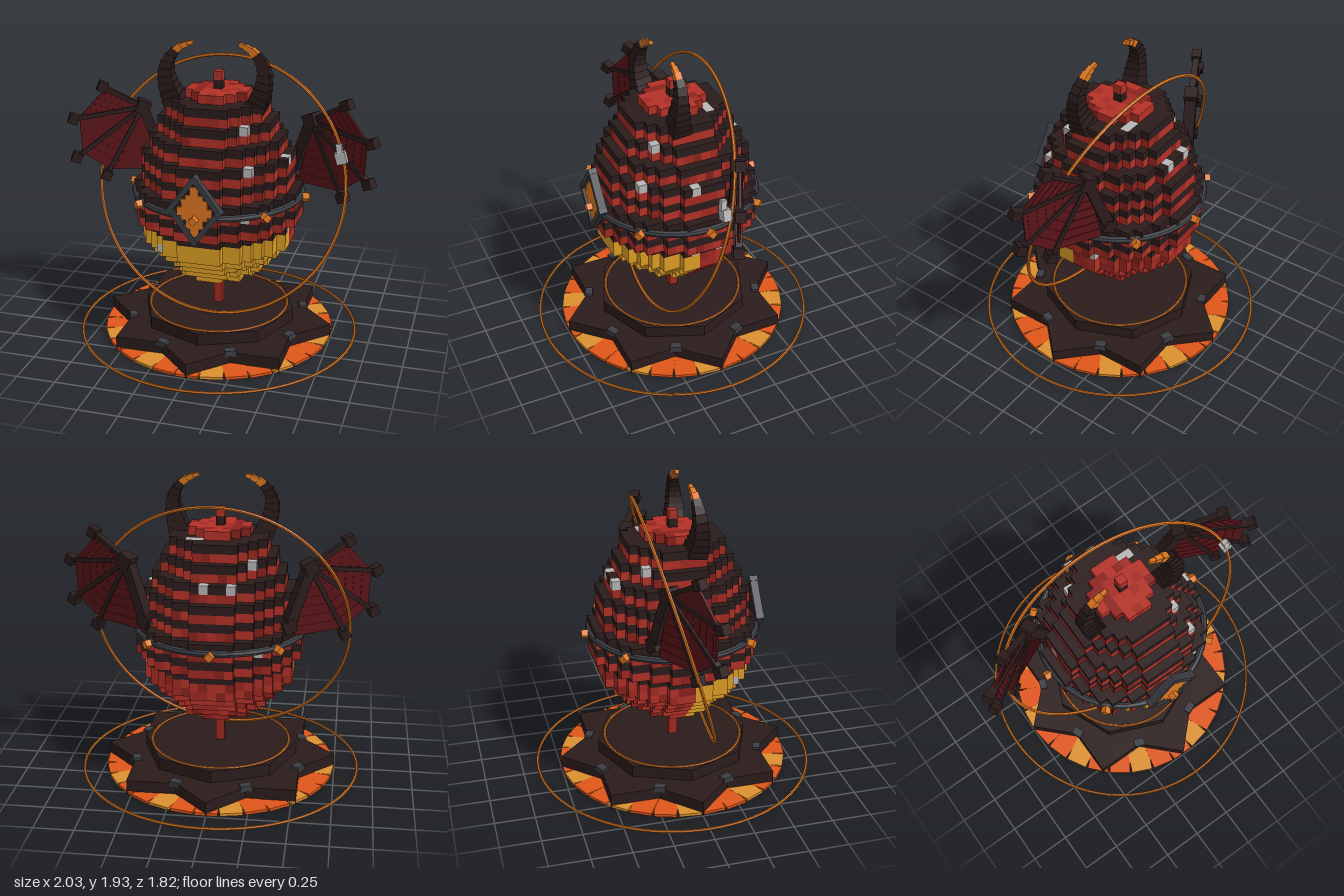
import * as THREE from 'three';
import { mergeGeometries } from 'three/addons/utils/BufferGeometryUtils.js';

const COLORS = {
  dark: 0x2c1c1c, red: 0xb43228, redMid: 0xa42a22, redDeep: 0x8c221e, yellow: 0xdf9f26,
  grey: 0xb8b8b8, iron: 0x3c3e44, orange: 0xe07820, flame: 0xe0561a, amber: 0xdd9030, membrane: 0x5a1418,
};
const mats = {};
for (const k in COLORS) {
  mats[k] = new THREE.MeshStandardMaterial({ color: COLORS[k], flatShading: true });
}
const V = (x, y, z) => new THREE.Vector3(x, y, z);

function add(parent, name, geo, color, x = 0, y = 0, z = 0) {
  const m = new THREE.Mesh(geo, mats[color]);
  m.name = name;
  m.position.set(x, y, z);
  parent.add(m);
  return m;
}

// Box running from a to b; w across, d along the facing normal
function bar(parent, name, a, b, w, d, color, normal = V(0, 0, 1)) {
  const dir = b.clone().sub(a);
  const m = add(parent, name, new THREE.BoxGeometry(w, dir.length(), d), color);
  m.position.copy(a).add(b).multiplyScalar(0.5);
  const yAxis = dir.normalize();
  const xAxis = yAxis.clone().cross(normal).normalize();
  const zAxis = xAxis.clone().cross(yAxis);
  m.quaternion.setFromRotationMatrix(new THREE.Matrix4().makeBasis(xAxis, yAxis, zAxis));
  return m;
}

// Base: sunburst tiles, eight-pointed star, octagonal step and rings
function buildBase() {
  const g = new THREE.Group();
  g.name = 'base';
  add(g, 'groundRing', new THREE.TorusGeometry(0.9, 0.009, 6, 96), 'orange', 0, 0.01, 0).rotation.x = Math.PI / 2;
  for (let k = 0; k < 30; k++) {
    const a = k * Math.PI / 15;
    const tile = add(g, 'sunTile', new THREE.BoxGeometry(0.142, 0.018, 0.35),
      k % 3 === 1 ? 'amber' : 'flame', Math.sin(a) * 0.57, 0.016 + (k % 3) * 0.001, Math.cos(a) * 0.57);
    tile.rotation.y = a;
  }
  for (const a of [0, Math.PI / 4]) {
    add(g, 'starPlate', new THREE.BoxGeometry(1.06, 0.096, 1.06), 'dark', 0, 0.052, 0).rotation.y = a;
  }
  add(g, 'upperStep', new THREE.CylinderGeometry(0.5, 0.5, 0.08, 8), 'dark', 0, 0.138, 0);
  add(g, 'stepRing', new THREE.TorusGeometry(0.45, 0.008, 6, 64), 'orange', 0, 0.18, 0).rotation.x = Math.PI / 2;
  for (let k = 0; k < 8; k++) {
    const a = (k + 0.5) * Math.PI / 4;
    add(g, 'starClamp', new THREE.BoxGeometry(0.07, 0.04, 0.05), 'iron',
      Math.sin(a) * 0.565, 0.096, Math.cos(a) * 0.565).rotation.y = a;
  }
  return g;
}

// Egg: striped voxel shell, one radius (in cells) per layer
const S = 0.055, EGG_Y = 0.42;
const RADII = [4, 5, 6, 7, 8, 8, 8, 9, 9, 9, 9, 8, 8, 8, 8, 7, 7, 6, 6, 5, 5, 3];
const SPECKS = new Set(['4,18,4', '5,14,6', '5,9,7', '-5,4,6', '8,6,-2', '8,6,1', '-2,16,-7',
  '1,16,-7', '2,20,-3', '3,20,-3', '-4,18,-4', '8,14,1', '-8,12,-1', '-5,9,-7']);
const inside = (x, y, z) => y >= 0 && y < RADII.length && x * x + z * z <= (RADII[y] + 0.4) ** 2;

function cellColor(x, y, z) {
  if (SPECKS.has(`${x},${y},${z}`)) return 'grey';
  if (y < 6 && z > 0) return 'yellow';
  if (y >= 6 && y % 2 === 0) return 'dark';
  const h = Math.abs(Math.sin(x * 12.9 + y * 78.2 + z * 37.7) * 437.5) % 1;
  return h < 0.5 ? 'red' : h < 0.8 ? 'redMid' : 'redDeep';
}

function buildEgg() {
  const g = new THREE.Group();
  g.name = 'egg';
  const cells = {};
  for (let y = 0; y < RADII.length; y++) {
    for (let x = -9; x <= 9; x++) for (let z = -9; z <= 9; z++) {
      if (!inside(x, y, z)) continue;
      const buried = inside(x + 1, y, z) && inside(x - 1, y, z) && inside(x, y + 1, z) &&
        inside(x, y - 1, z) && inside(x, y, z + 1) && inside(x, y, z - 1);
      if (buried) continue;
      const box = new THREE.BoxGeometry(S, S, S).translate(x * S, EGG_Y + (y + 0.5) * S, z * S);
      (cells[cellColor(x, y, z)] ??= []).push(box);
    }
  }
  for (const c in cells) add(g, c + 'Shell', mergeGeometries(cells[c]), c);
  add(g, 'crownLower', new THREE.BoxGeometry(S, S, S), 'dark', 0, 1.657, 0);
  add(g, 'crownUpper', new THREE.BoxGeometry(S, S, S), 'red', 0, 1.712, 0);
  add(g, 'stand', new THREE.BoxGeometry(S, 0.25, S), 'redMid', 0, 0.3, 0);
  return g;
}

// Horn: tapering chain of blocks with a glowing tip
function buildHorn(side) {
  const g = new THREE.Group();
  g.name = side > 0 ? 'leftHorn' : 'rightHorn';
  const path = new THREE.CatmullRomCurve3([V(0.255, 1.54, 0.075), V(0.295, 1.65, 0.09), V(0.312, 1.75, 0.09),
    V(0.28, 1.84, 0.08), V(0.22, 1.895, 0.075), V(0.145, 1.925, 0.07)].map(p => (p.x *= side, p)));
  const n = 11;
  for (let i = 0; i < n; i++) {
    const a = path.getPointAt(i / n), b = path.getPointAt(Math.min(1, (i + 1.15) / n));
    const w = 0.125 - 0.1 * i / (n - 1);
    bar(g, i < 8 ? 'hornBlock' : 'hornTip', a, b, w, w * 0.95, i < 8 ? 'dark' : 'orange');
  }
  return g;
}

// Wing: arm, finger bones with knuckles, stepped membrane slats between them
function buildWing(side) {
  const g = new THREE.Group();
  g.name = side > 0 ? 'leftWing' : 'rightWing';
  const P = (x, y) => V(side * x, y, -0.19 + 0.48 * (x - 0.5));
  const normal = V(-0.48 * side, 0, 1).normalize();
  const wrist = P(0.56, 1.42), elbow = P(0.44, 1.06);
  const tips = [P(0.79, 1.565), P(0.965, 1.36), P(0.955, 1.1), P(0.785, 0.965)];
  bar(g, 'arm', elbow, wrist, 0.065, 0.075, 'dark', normal);
  bar(g, 'shoulder', V(side * 0.36, 1.08, -0.2), elbow, 0.07, 0.07, 'dark', normal);
  const block = (name, p, s) => {
    const m = add(g, name, new THREE.BoxGeometry(s, s, s), 'dark', p.x, p.y, p.z);
    m.rotation.set(0, -side * 0.45, side * 0.4);
  };
  block('wristJoint', wrist, 0.085);
  block('elbowJoint', elbow, 0.08);
  for (const t of tips) {
    bar(g, 'finger', wrist, t, 0.028, 0.04, 'dark', normal);
    block('fingerTip', t, 0.062);
  }
  const ends = [...tips, P(0.47, 0.95)];
  const steps = 14;
  for (let i = 0; i < 4; i++) {
    const reach = ends[i].distanceTo(wrist) + ends[i + 1].distanceTo(wrist);
    for (let k = 1; k <= steps; k++) {
      const t = 0.88 * k / steps;
      const a = wrist.clone().lerp(ends[i], t), b = wrist.clone().lerp(ends[i + 1], t);
      bar(g, 'membraneSlat', a, b, reach * 0.5 * 0.88 / steps, 0.014 + 0.006 * (k % 2), 'membrane', normal);
    }
  }
  return g;
}

// Belt with studs, and the diamond shield on its front
function buildBelt() {
  const g = new THREE.Group();
  g.name = 'belt';
  add(g, 'beltBand', new THREE.TorusGeometry(0.53, 0.022, 8, 48), 'iron', 0, 0.97, 0).rotation.x = Math.PI / 2;
  for (let k = 0; k < 8; k++) {
    const a = k * Math.PI / 4;
    const stud = add(g, 'stud', new THREE.BoxGeometry(0.042, 0.042, 0.045), 'orange',
      Math.sin(a) * 0.565, 0.965, Math.cos(a) * 0.565);
    stud.rotation.set(0, a, Math.PI / 4);
  }
  const cy = 1.02, hx = 0.15, hy = 0.2, z = 0.535;
  const corners = [V(0, cy + hy, z), V(hx, cy, z), V(0, cy - hy, z), V(-hx, cy, z)];
  const plate = new THREE.Shape(corners.map(p => new THREE.Vector2(p.x, p.y)));
  add(g, 'shieldPlate', new THREE.ExtrudeGeometry(plate, { depth: 0.03, bevelEnabled: false }), 'dark', 0, 0, 0.51);
  corners.forEach((p, i) => {
    bar(g, 'shieldFrame', p, corners[(i + 1) % 4], 0.032, 0.05, 'iron');
    add(g, 'shieldCorner', new THREE.BoxGeometry(0.034, 0.034, 0.054), 'iron', p.x, p.y, z).rotation.z = Math.PI / 4;
  });
  const rows = [1, 1, 2, 2, 3, 4, 4, 3, 3, 2, 1, 1];
  rows.forEach((n, i) => add(g, 'shieldEmblem', new THREE.BoxGeometry(n * 0.054, 0.0265, 0.03),
    'orange', 0, 0.865 + i * 0.0265, 0.535));
  return g;
}

export function createModel() {
  const model = new THREE.Group();
  model.name = 'hornedEgg';
  model.add(buildBase(), buildEgg(), buildBelt());
  for (const s of [1, -1]) model.add(buildHorn(s), buildWing(s));

  // Tilted orbit ring with its pointer
  const orbit = add(model, 'orbitRing', new THREE.TorusGeometry(0.823, 0.011, 6, 96), 'orange', 0, 0.995, 0);
  orbit.quaternion.setFromUnitVectors(V(0, 0, 1), V(-0.08, 0.29, 1).normalize());
  const pointer = [[0.795, 1.22, 0.06], [0.775, 1.285, 0.045], [0.762, 1.345, 0.035]];
  bar(model, 'pointerBase', V(0.79, 1.22, 0.03), V(0.77, 1.29, 0.03), 0.065, 0.05, 'grey');
  bar(model, 'pointerTip', V(...pointer[1]), V(...pointer[2]), 0.035, 0.035, 'grey');
  return model;
}
